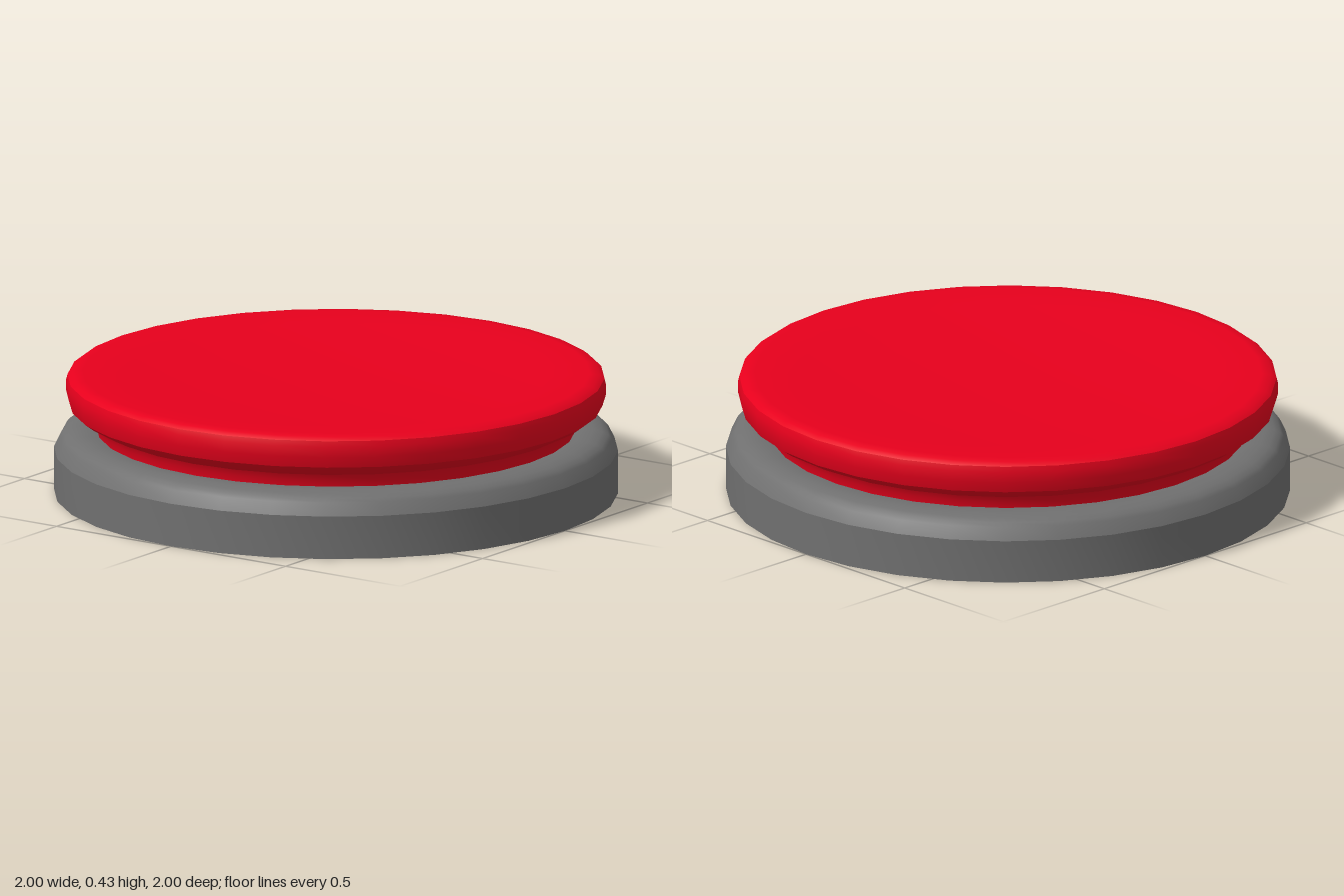
import * as THREE from 'three';
import { toCreasedNormals } from 'three/addons/utils/BufferGeometryUtils.js';

const SIDES = 32;

// Turns a [radius, height] profile; edges bent more than the crease angle stay sharp
function turned(name, color, crease, profile) {
  const points = profile.map(([r, y]) => new THREE.Vector2(r, y));
  const geometry = toCreasedNormals(new THREE.LatheGeometry(points, SIDES), crease);
  const mesh = new THREE.Mesh(geometry, new THREE.MeshStandardMaterial({ color }));
  mesh.name = name;
  return mesh;
}

export function createModel() {
  const group = new THREE.Group();
  group.name = 'pushButton';

  // Housing: straight wall, rounded shoulder, top dipping slightly towards the stem
  group.add(turned('base', 0x707070, 0.42, [
    [0, 0], [1, 0], [1, 0.155], [0.978, 0.2], [0.966, 0.213], [0.945, 0.224],
    [0.915, 0.231], [0.87, 0.232], [0.84, 0.225], [0, 0.225],
  ]));

  // Cap in one piece: stem, flared underside, rounded rim, shallow dished top
  group.add(turned('cap', 0xe7001c, 0.6, [
    [0.848, 0.22], [0.853, 0.25], [0.866, 0.274],
    [0.915, 0.298], [0.945, 0.32], [0.957, 0.36],
    [0.957, 0.398], [0.952, 0.418], [0.935, 0.431], [0.9, 0.434],
    [0.75, 0.424], [0.5, 0.413], [0.25, 0.407], [0, 0.405],
  ]));

  return group;
}
